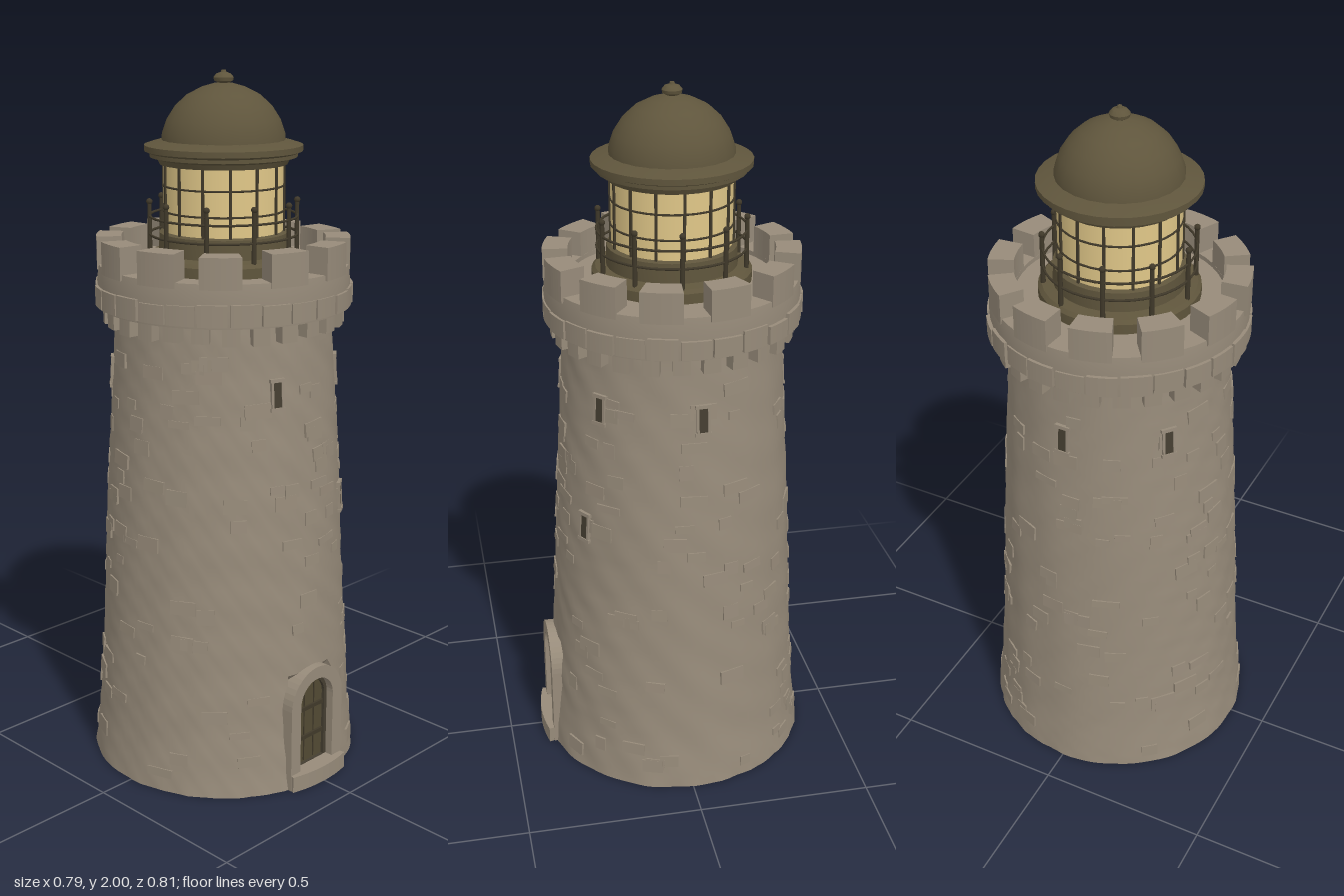
import * as THREE from 'three';
import { toCreasedNormals } from 'three/addons/utils/BufferGeometryUtils.js';

const mat = (name, color, side = THREE.FrontSide) => {
  const m = new THREE.MeshStandardMaterial({ color, side });
  m.name = name;
  return m;
};

export function createModel() {
  const stone = mat('stone', 0x978b7a);
  const bronze = mat('bronze roof', 0x5f553c);
  const iron = mat('dark iron', 0x40392a);
  const glass = mat('lamp glass', 0xe0c788, THREE.DoubleSide);
  const wood = mat('door wood', 0x524a33);
  const shade = mat('window dark', 0x453e31);

  const model = new THREE.Group();
  model.name = 'lighthouse';
  const body = new THREE.Group();
  body.name = 'towerBody';
  body.position.z = -0.012;
  model.add(body);

  let seed = 7;
  const rnd = () => (seed = (seed * 16807) % 2147483647) / 2147483647;

  const add = (name, geo, material, parent = body) => {
    const m = new THREE.Mesh(geo, material);
    m.name = name;
    parent.add(m);
    return m;
  };
  const vecs = pts => pts.map(p => new THREE.Vector2(p[0], p[1]));
  const lathe = (name, pts, material, segs = 48) =>
    add(name, toCreasedNormals(new THREE.LatheGeometry(vecs(pts), segs), 0.6), material);

  // Curved block covering part of a ring; angle 0 faces the front
  const arcBlock = (name, r0, r1, y0, y1, angle, width, material = stone) => {
    const s = new THREE.Shape();
    s.absarc(0, 0, r1, -width / 2, width / 2, false);
    s.absarc(0, 0, r0, width / 2, -width / 2, true);
    const g = new THREE.ExtrudeGeometry(s, { depth: y1 - y0, bevelEnabled: false, curveSegments: 4 });
    g.rotateX(-Math.PI / 2).rotateY(angle - Math.PI / 2).translate(0, y0, 0);
    return add(name, g, material);
  };

  // Tower radius by height
  const profile = [[0.393, 0], [0.376, 0.15], [0.36, 0.4], [0.34, 0.8], [0.314, 1.2], [0.306, 1.37]];
  const radius = y => {
    let i = 0;
    while (i < profile.length - 2 && y > profile[i + 1][1]) i++;
    const [[ra, ya], [rb, yb]] = [profile[i], profile[i + 1]];
    return ra + (rb - ra) * (y - ya) / (yb - ya);
  };
  const onWall = (mesh, angle, y, out = 0) => {
    const r = radius(y) + out;
    mesh.position.set(Math.sin(angle) * r, y, Math.cos(angle) * r);
    mesh.rotation.set(-0.06, angle, 0, 'YXZ');
    return mesh;
  };

  // Rough masonry shaft, pressed in behind the doorway
  const rows = 40;
  const wallPts = [[0, 0]];
  for (let i = 0; i <= rows; i++) wallPts.push([radius(1.37 * i / rows), 1.37 * i / rows]);
  const wall = new THREE.LatheGeometry(vecs(wallPts), 96);
  const p = wall.attributes.position;
  for (let i = 0; i < p.count; i++) {
    const x = p.getX(i), y = p.getY(i), z = p.getZ(i);
    const n = Math.sin(x * 31 + y * 17) * Math.sin(z * 37 - y * 23) + 0.6 * Math.sin(x * 67 + z * 59 + y * 71);
    const k = 1 + n * 0.006;
    const inDoor = z > 0 && Math.abs(x + 0.008) < 0.085 && y < 0.325;
    p.setXYZ(i, x * k, y, inDoor ? Math.min(z, 0.33) : z * k);
  }
  add('towerShaft', toCreasedNormals(wall, 0.5), stone);

  // Scattered stones standing slightly proud of the wall
  const stones = new THREE.Group();
  stones.name = 'wallStones';
  body.add(stones);
  for (let i = 0; i < 190; i++) {
    const angle = rnd() * Math.PI * 2, y = 0.04 + rnd() * 1.22;
    const w = 0.035 + rnd() * 0.045, h = 0.02 + rnd() * 0.025;
    const nearDoor = y < 0.42 && Math.cos(angle) > 0.9;
    if (nearDoor) continue;
    const m = add('wallStone', new THREE.BoxGeometry(w, h, 0.012), stone, stones);
    onWall(m, angle, y, -0.003);
    m.rotation.z = (rnd() - 0.5) * 0.12;
  }

  // Slit windows with a stone sill and lintel
  const slits = [[-18, 1.16], [41, 1.17], [94, 1.165], [178, 1.165], [231, 1.165], [33, 0.8]];
  for (const [deg, y] of slits) {
    const g = new THREE.Group();
    g.name = 'slitWindow';
    body.add(g);
    onWall(g, deg * Math.PI / 180, y);
    add('slit', new THREE.BoxGeometry(0.024, 0.07, 0.009), shade, g).position.z = 0.001;
    for (const s of [-1, 1]) {
      add('slitCap', new THREE.BoxGeometry(0.045, 0.01, 0.018), stone, g).position.y = s * 0.04;
      add('slitJamb', new THREE.BoxGeometry(0.007, 0.07, 0.016), stone, g).position.x = s * 0.0155;
    }
  }

  // Arched doorway
  const arch = (w, base, top, Type = THREE.Shape) => {
    const s = new Type();
    s.moveTo(-w, base);
    s.lineTo(w, base);
    s.lineTo(w, top - w);
    s.absarc(0, top - w, w, 0, Math.PI, false);
    s.lineTo(-w, base);
    return s;
  };
  const doorway = new THREE.Group();
  doorway.name = 'doorway';
  doorway.position.x = -0.008;
  body.add(doorway);
  const surround = arch(0.107, 0, 0.355);
  surround.holes.push(arch(0.068, 0.045, 0.318, THREE.Path));
  const solid = (shape, depth) =>
    new THREE.ExtrudeGeometry(shape, { depth, bevelEnabled: false, curveSegments: 10 });
  add('doorSurround', solid(surround, 0.095), stone, doorway).position.z = 0.293;
  add('doorLeaf', solid(arch(0.07, 0.04, 0.32), 0.01), wood, doorway).position.z = 0.345;
  const trim = arch(0.069, 0.044, 0.319);
  trim.holes.push(arch(0.057, 0.05, 0.307, THREE.Path));
  add('doorTrim', solid(trim, 0.009), shade, doorway).position.z = 0.355;
  for (const y of [0.13, 0.22])
    add('hingeBand', new THREE.BoxGeometry(0.11, 0.012, 0.008), iron, doorway).position.set(0, y, 0.358);
  for (const x of [-0.02, 0.02])
    add('plankSeam', new THREE.BoxGeometry(0.003, 0.24, 0.003), iron, doorway).position.set(x, 0.175, 0.356);
  arcBlock('doorStep', 0.3, 0.415, 0, 0.048, -0.02, 0.53);

  // Battlement: corbels, stone course, parapet and merlons
  lathe('parapet', [[0.29, 1.355], [0.352, 1.355], [0.357, 1.43], [0.352, 1.475],
    [0.286, 1.475], [0.286, 1.462], [0, 1.462]], stone);
  const corbels = 26;
  for (let i = 0; i < corbels; i++) {
    const a = i / corbels * Math.PI * 2;
    arcBlock('corbel', 0.29, 0.342, 1.305 + rnd() * 0.008, 1.358, a, 0.14);
    arcBlock('courseStone', 0.33, 0.36 + rnd() * 0.006, 1.362, 1.412 + rnd() * 0.012, a + 0.1, 0.222);
  }
  for (let i = 0; i < 12; i++) {
    const a = (i + 0.5) / 12 * Math.PI * 2 + (rnd() - 0.5) * 0.04;
    arcBlock('merlon', 0.286, 0.355 + rnd() * 0.004, 1.46, 1.545 + rnd() * 0.008, a, 0.32);
  }

  // Lantern base, glass and glazing bars
  lathe('lanternBase', [[0.222, 1.455], [0.222, 1.49], [0.212, 1.5], [0.182, 1.505],
    [0.18, 1.56], [0.165, 1.565]], bronze, 32);
  add('lampGlass', new THREE.CylinderGeometry(0.167, 0.167, 0.2, 32, 1, true), glass).position.y = 1.655;
  for (let i = 0; i < 14; i++) {
    const a = (i + 0.5) / 14 * Math.PI * 2;
    const bar = add('glazingBar', new THREE.BoxGeometry(0.007, 0.2, 0.008), iron);
    bar.position.set(Math.sin(a) * 0.168, 1.655, Math.cos(a) * 0.168);
    bar.rotation.y = a;
  }
  const hoop = (name, r, t, y) => {
    const m = add(name, new THREE.TorusGeometry(r, t, 6, 40), iron);
    m.rotation.x = Math.PI / 2;
    m.position.y = y;
  };
  for (const y of [1.62, 1.69]) hoop('glazingHoop', 0.168, 0.003, y);

  // Gallery railing
  for (const y of [1.555, 1.605]) hoop('rail', 0.207, 0.0035, y);
  for (let i = 0; i < 10; i++) {
    const a = (i + 0.4) / 10 * Math.PI * 2;
    const x = Math.sin(a) * 0.207, z = Math.cos(a) * 0.207;
    add('railPost', new THREE.CylinderGeometry(0.006, 0.007, 0.16, 6), iron).position.set(x, 1.565, z);
    add('railKnob', new THREE.SphereGeometry(0.009, 8, 6), iron).position.set(x, 1.645, z);
  }

  // Eaves, dome and finial
  lathe('eaves', [[0.15, 1.745], [0.178, 1.748], [0.185, 1.762], [0.205, 1.768], [0.205, 1.778],
    [0.22, 1.784], [0.22, 1.8], [0.195, 1.808], [0.165, 1.815]], bronze, 32);
  lathe('dome', [[0.172, 1.805], [0.17, 1.83], [0.157, 1.868], [0.133, 1.905], [0.1, 1.935],
    [0.06, 1.955], [0.025, 1.965], [0, 1.967]], bronze, 24);
  lathe('finial', [[0.016, 1.955], [0.015, 1.965], [0.026, 1.971], [0.028, 1.98], [0.02, 1.99],
    [0.008, 1.994], [0.006, 2], [0, 2]], bronze, 16);

  return model;
}
